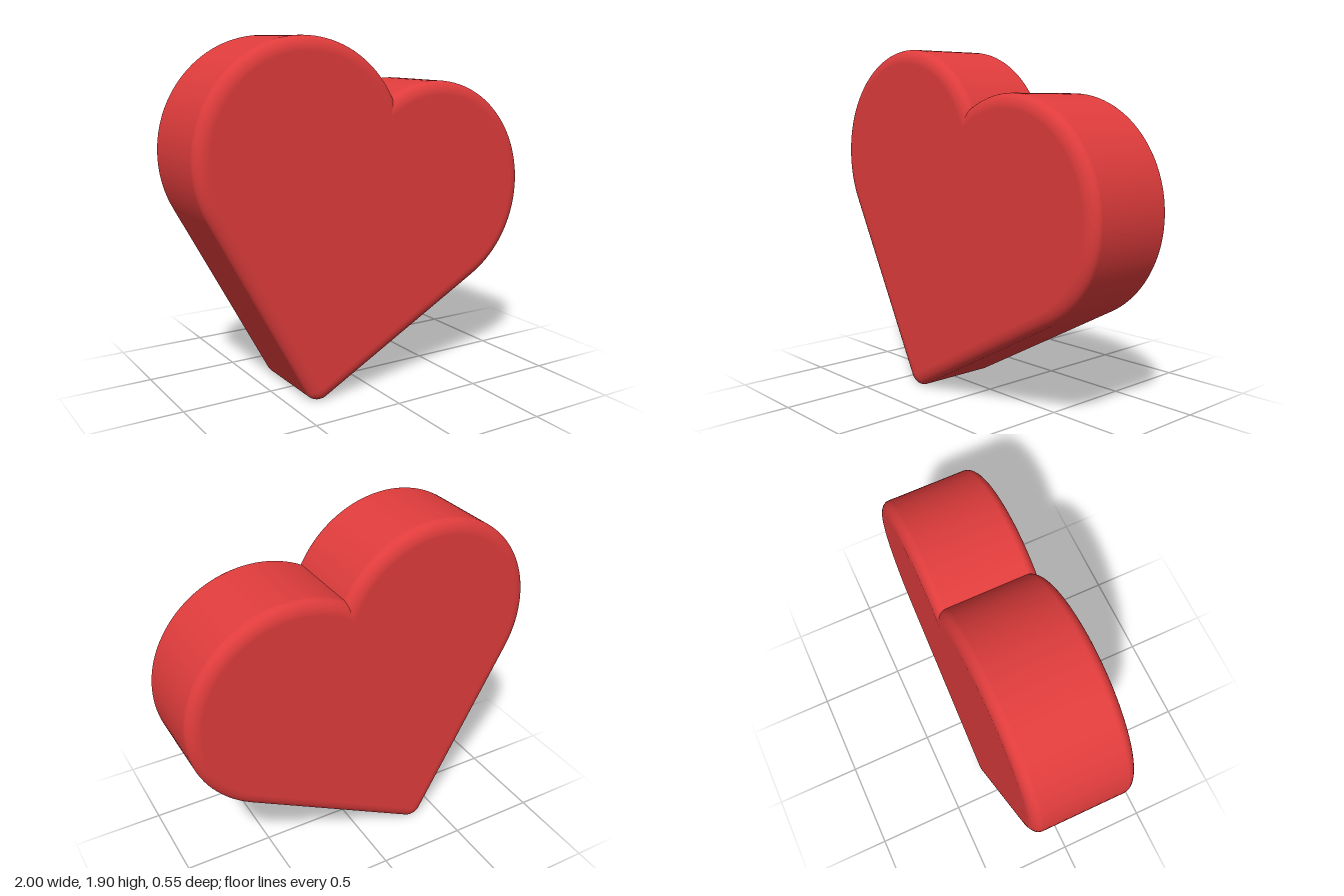
import * as THREE from 'three';

// Heart outline: two big lobes and a small rounded tip, joined by tangent lines
const LOBE = 0.595, TIP = 0.08;
const L = new THREE.Vector2(-0.405, 1.303);
const R = new THREE.Vector2(0.405, 1.063);
const T = new THREE.Vector2(-0.33, 0.08);
const HALF_DEPTH = 0.275, BEVEL_IN = 0.075, BEVEL_Z = 0.055;

// Angle of the outward normal of the line tangent to the tip and a lobe
function tangentAngle(lobe, side) {
  const d = lobe.clone().sub(T);
  return Math.atan2(d.y, d.x) + side * Math.acos((TIP - LOBE) / d.length());
}

// Counter-clockwise outline moved inward by `inset`; each point keeps its normal angle
function outline(inset) {
  const r = LOBE - inset;
  const left = tangentAngle(L, 1);
  const right = tangentAngle(R, -1);
  const across = L.clone().sub(R);
  const base = Math.atan2(across.y, across.x);
  const cleft = Math.acos(across.length() / 2 / r);
  const points = [];
  const arc = (c, radius, a0, a1, n) => {
    let sweep = (a1 - a0) % (2 * Math.PI);
    if (sweep < 0) sweep += 2 * Math.PI;
    for (let i = 0; i <= n; i++) {
      const a = a0 + (sweep * i) / n;
      points.push({ x: c.x + radius * Math.cos(a), y: c.y + radius * Math.sin(a), a });
    }
  };
  arc(T, TIP - inset, left, right, 16);
  arc(R, r, right, base - cleft, 56);
  arc(L, r, base + Math.PI + cleft, left, 56);
  return points;
}

function heartGeometry() {
  const pos = [], nor = [], index = [];
  const steps = 10;

  // Cross-sections from back to front: rounded rim, straight wall, rounded rim
  const rings = [];
  for (const s of [-1, 1]) {
    for (let i = 0; i <= steps; i++) {
      const t = (s < 0 ? steps - i : i) / steps;
      rings.push({ s, phi: (t * Math.PI) / 2 });
    }
  }
  let count = 0;
  rings.forEach(({ s, phi }, k) => {
    const pts = outline(BEVEL_IN * (1 - Math.cos(phi)));
    const z = s * (HALF_DEPTH - BEVEL_Z * (1 - Math.sin(phi)));
    count = pts.length;
    pts.forEach((p, i) => {
      const n = new THREE.Vector3(
        (Math.cos(p.a) * Math.cos(phi)) / BEVEL_IN,
        (Math.sin(p.a) * Math.cos(phi)) / BEVEL_IN,
        (s * Math.sin(phi)) / BEVEL_Z
      ).normalize();
      pos.push(p.x, p.y, z);
      nor.push(n.x, n.y, n.z);
      if (k === 0) return;
      const j = (i + 1) % count;
      const a = (k - 1) * count + i, b = (k - 1) * count + j;
      const c = k * count + j, d = k * count + i;
      index.push(a, b, c, a, c, d);
    });
  });

  // Flat faces: fans around an inner point
  for (const s of [-1, 1]) {
    const start = pos.length / 3;
    pos.push(-0.04, 1.05, s * HALF_DEPTH);
    nor.push(0, 0, s);
    outline(BEVEL_IN).forEach((p) => {
      pos.push(p.x, p.y, s * HALF_DEPTH);
      nor.push(0, 0, s);
    });
    for (let i = 0; i < count; i++) {
      const a = start + 1 + i, b = start + 1 + ((i + 1) % count);
      if (s > 0) index.push(start, a, b);
      else index.push(start, b, a);
    }
  }

  const g = new THREE.BufferGeometry();
  g.setAttribute('position', new THREE.Float32BufferAttribute(pos, 3));
  g.setAttribute('normal', new THREE.Float32BufferAttribute(nor, 3));
  g.setIndex(index);
  return g;
}

export function createModel() {
  const group = new THREE.Group();
  const heart = new THREE.Mesh(heartGeometry(), new THREE.MeshStandardMaterial({ color: 0xe03c3c }));
  heart.name = 'heart';
  group.add(heart);
  return group;
}
